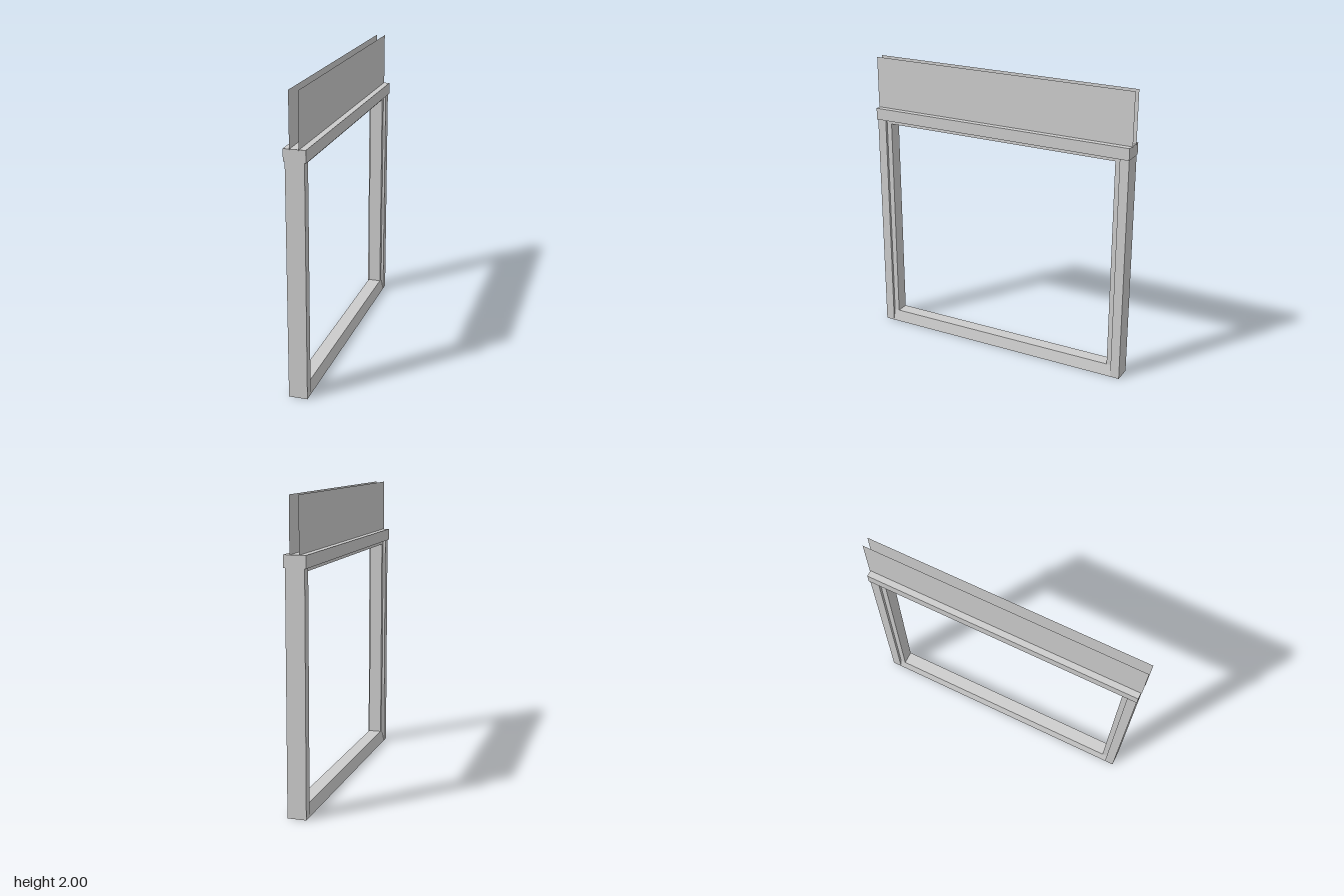
import * as THREE from 'three';

export function createModel() {
  const model = new THREE.Group();
  model.name = 'windowFrame';
  const grey = new THREE.MeshStandardMaterial({ color: 0xcccccc });
  grey.name = 'grey';
  const greySheet = grey.clone();
  greySheet.name = 'grey sheet';
  greySheet.side = THREE.DoubleSide;

  // Adds a box given its size, bottom height and z centre
  const addBox = (name, w, h, d, bottom, z = 0) => {
    const mesh = new THREE.Mesh(new THREE.BoxGeometry(w, h, d), grey);
    mesh.name = name;
    mesh.position.set(0, bottom + h / 2, z);
    model.add(mesh);
  };

  // Side posts with a narrower stop on their inner faces
  for (const [side, s] of [['front', 1], ['back', -1]]) {
    addBox(side + 'Post', 0.124, 1.565, 0.063, 0, s * 0.9105);
    addBox(side + 'Stop', 0.09, 1.525, 0.036, 0.04, s * 0.861);
  }

  // Header with its stop below
  addBox('header', 0.144, 0.08, 1.89, 1.565);
  addBox('headerStop', 0.09, 0.027, 1.69, 1.538);

  // Sill with sloping sides
  const profile = new THREE.Shape([
    [-0.062, 0], [0.062, 0], [0.045, 0.08], [-0.045, 0.08],
  ].map(([x, y]) => new THREE.Vector2(x, y)));
  const sill = new THREE.Mesh(
    new THREE.ExtrudeGeometry(profile, { depth: 1.758, bevelEnabled: false }).translate(0, 0, -0.879),
    grey,
  );
  sill.name = 'sill';
  model.add(sill);

  // Pair of thin upright panels above the header
  for (const [side, s] of [['left', 1], ['right', -1]]) {
    const panel = new THREE.Mesh(new THREE.PlaneGeometry(1.9, 0.36), greySheet);
    panel.name = side + 'Panel';
    panel.rotation.y = s * Math.PI / 2;
    panel.position.set(s * 0.03, 1.82, 0);
    model.add(panel);
  }
  return model;
}
